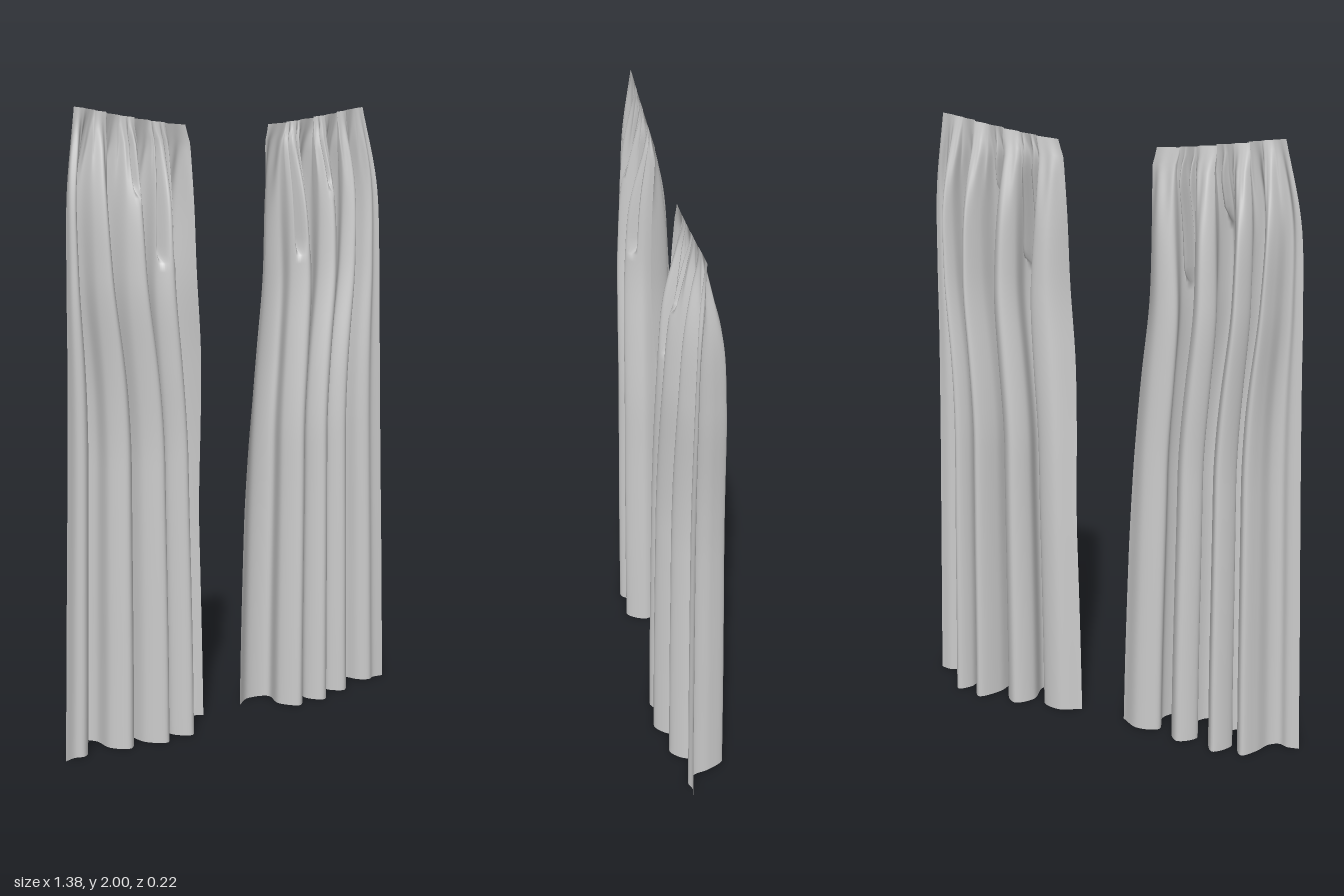
import * as THREE from 'three';

const COLS = 260, ROWS = 72;
const { lerp, smoothstep } = THREE.MathUtils;

// Hem of one panel seen from above (x, z), from inner edge to outer edge
const hem = new THREE.CatmullRomCurve3([
  [0.08, -0.03], [0.15, -0.07], [0.22, -0.045], [0.195, 0.04], [0.235, 0.102], [0.28, 0.055],
  [0.265, -0.04], [0.31, -0.095], [0.36, -0.045], [0.305, 0.05], [0.34, 0.107], [0.39, 0.06],
  [0.4, -0.04], [0.445, -0.11], [0.485, -0.04], [0.425, 0.03], [0.465, 0.077], [0.51, 0.03],
  [0.508, -0.05], [0.54, -0.09], [0.572, -0.04], [0.59, 0.02], [0.62, 0.043], [0.65, 0.033],
  [0.69, 0.04],
].map(([x, z]) => new THREE.Vector3(x, 0, z)), false, 'centripetal');

// Inner edge, outer edge and fold depth, at equal steps from the floor to the top
const outline = new THREE.CatmullRomCurve3([
  [0.08, 0.69, 1], [0.085, 0.683, 0.99], [0.092, 0.677, 0.97], [0.1, 0.67, 0.94],
  [0.107, 0.664, 0.91], [0.12, 0.659, 0.87], [0.142, 0.656, 0.79], [0.15, 0.645, 0.6],
  [0.158, 0.598, 0],
].map((p) => new THREE.Vector3(...p)), false, 'catmullrom');

// Narrow tucks below the heading: position along the cloth, lower end height
const tucks = [[0.168, 1.53], [0.21, 1.53], [0.47, 1.74]];

function clothPoint(s, p, t) {
  const o = outline.getPoint(t);
  const y = t * lerp(1.945, 2, s);
  // folds overlap at the hem and partly open out towards the heading
  const across = lerp((p.x - 0.08) / 0.61, s, 0.6 * smoothstep(y, 1.1, 1.95));
  // the inner top corner is rounded
  const inner = o.x + 0.015 * smoothstep(y, 1.88, 1.95);
  let x = lerp(inner, o.y, across);
  // upper part of the folds leans outward
  x += 0.03 * smoothstep(y, 0.9, 1.5) * Math.sin(Math.PI * across);
  // inner edge turns forward as it rises
  const turn = 0.055 * smoothstep(y, 0.6, 1.5) * Math.exp(-s / 0.03);
  let z = (p.z + turn) * o.z;
  // tucks and fine gathers, flattening out at the very top
  const fade = 1 - smoothstep(t, 0.93, 1);
  for (const [centre, low] of tucks) {
    z -= 0.05 * fade * Math.exp(-(((s - centre) / 0.008) ** 2)) * smoothstep(y, low - 0.01, low + 0.03);
  }
  z += 0.004 * fade * smoothstep(y, 1.65, 1.88) * Math.sin(s * Math.PI * 40);
  return [x, y, z];
}

function panelGeometry(side) {
  const path = hem.getSpacedPoints(COLS);
  const positions = [], index = [];
  for (let j = 0; j <= ROWS; j++) {
    for (let i = 0; i <= COLS; i++) {
      const [x, y, z] = clothPoint(i / COLS, path[i], j / ROWS);
      positions.push(side * x, y, z);
      if (i < COLS && j < ROWS) {
        const a = j * (COLS + 1) + i, b = a + 1, c = a + COLS + 1, d = c + 1;
        if (side > 0) index.push(a, b, d, a, d, c);
        else index.push(a, d, b, a, c, d);
      }
    }
  }
  const geometry = new THREE.BufferGeometry();
  geometry.setAttribute('position', new THREE.Float32BufferAttribute(positions, 3));
  geometry.setIndex(index);
  geometry.computeVertexNormals();
  return geometry;
}

export function createModel() {
  const group = new THREE.Group();
  group.name = 'curtains';
  const cloth = new THREE.MeshStandardMaterial({ color: 0xcccccc, side: THREE.DoubleSide });
  for (const [name, side] of [['leftCurtain', 1], ['rightCurtain', -1]]) {
    const panel = new THREE.Mesh(panelGeometry(side), cloth);
    panel.name = name;
    group.add(panel);
  }
  return group;
}
